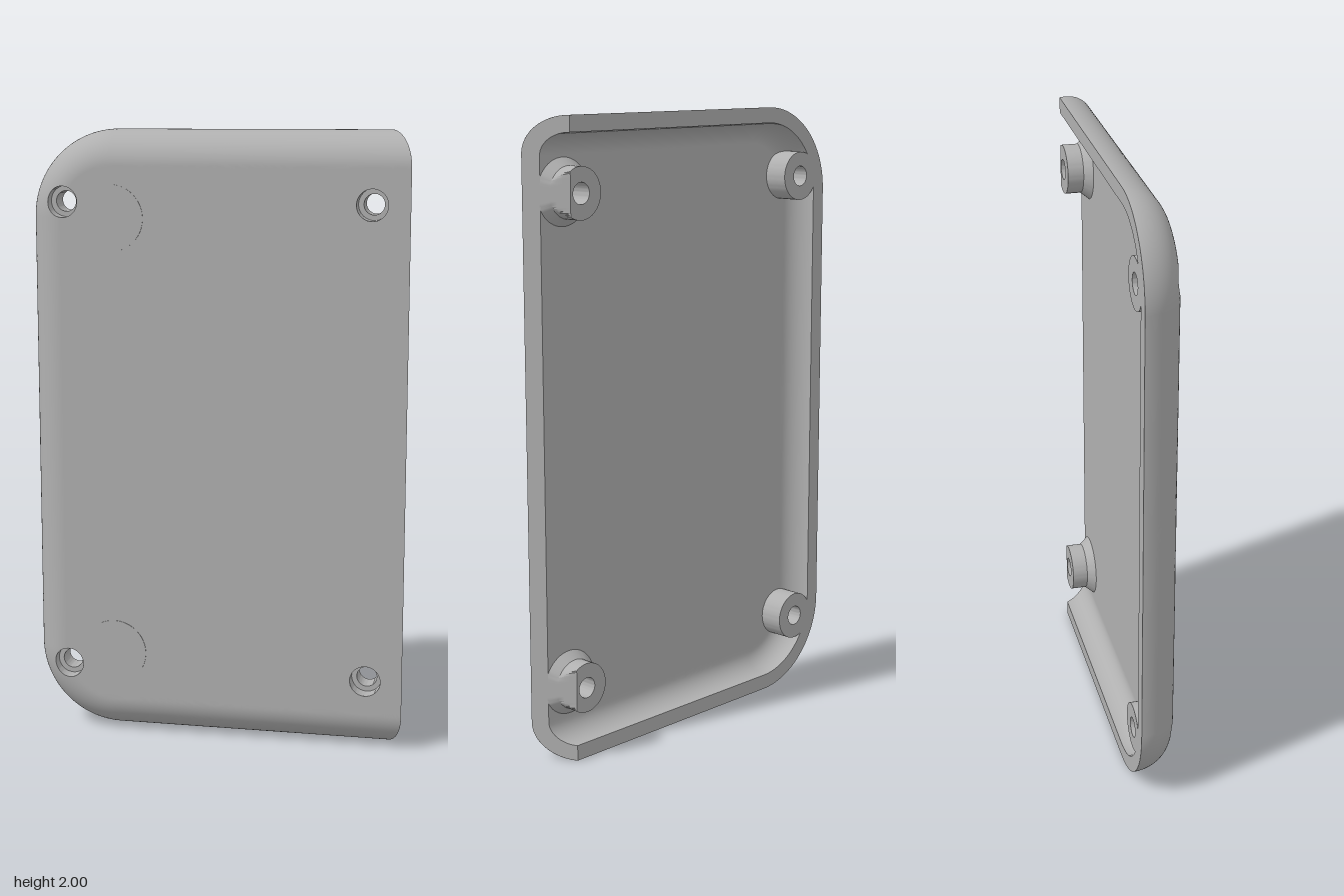
import * as THREE from 'three';
import { toCreasedNormals } from 'three/addons/utils/BufferGeometryUtils.js';

const CX = -0.34, CY = 0.28;              // centre of the rounded lower corner
const Z0 = -0.064;                        // plane of the back rim
const OUTER = { R: 0.28, a: 0.115, H: 0.128 };  // outline radius, edge rounding width and height
const INNER = { R: 0.23, a: 0.07, H: 0.08 };
const BORE = 0.033, SINK = 0.05;          // screw hole and counterbore radii
const cutX = z => 0.5816 + 0.6 * z;       // slanted plane of the open side

// Height and normal of a shell surface over the point (x, y)
function surface(s, x, y) {
  const vx = Math.max(0, CX - x), vy = Math.max(0, Math.abs(y - 1) - (1 - CY));
  const dist = Math.hypot(vx, vy) || 1e-9;
  const d = Math.min(s.a, Math.max(0, s.R - dist));
  const c = 1 - d / s.a, h = Math.sqrt(Math.max(0, 1 - c * c));
  const n = new THREE.Vector3(-vx / dist * c / s.a, Math.sign(y - 1) * vy / dist * c / s.a, h / s.H);
  return { z: Z0 + s.H * h, n: n.normalize() };
}

// Counter-clockwise border of one quarter of the plate
function border(s, right, top) {
  const y0 = CY - s.R, x0 = CX - s.R, pts = [];
  const line = (ax, ay, bx, by, n) => {
    for (let k = 0; k < n; k++) {
      const t = (1 - Math.cos(Math.PI * k / n)) / 2;
      pts.push([ax + (bx - ax) * t, ay + (by - ay) * t]);
    }
  };
  if (right) {
    line(0, y0, 0.62, y0, 44);
    line(0.62, y0, 0.62, 1, 60);
    line(0.62, 1, 0, 1, 36);
    line(0, 1, 0, y0, 60);
  } else {
    line(0, 1, x0, 1, 36);
    line(x0, 1, x0, CY, 48);
    for (let k = 0; k < 32; k++) {
      const t = Math.PI + Math.PI / 2 * k / 32;
      pts.push([CX + s.R * Math.cos(t), CY + s.R * Math.sin(t)]);
    }
    line(CX, y0, 0, y0, 24);
    line(0, y0, 0, 1, 60);
  }
  return top ? pts.map(p => [p[0], 2 - p[1]]).reverse() : pts;
}

// Quarter of a shell surface, spread from the screw hole to the border
function quarter(s, hx, hy, inside) {
  const edge = border(s, hx > 0, hy > 1), rings = 20, n = edge.length;
  const pos = [], nor = [], idx = [];
  for (let j = 0; j <= rings; j++) {
    const t = 1 - (1 - j / rings) ** 2;
    for (const [bx, by] of edge) {
      const len = Math.hypot(bx - hx, by - hy);
      const r = SINK + (len - SINK) * t;
      const x = hx + (bx - hx) / len * r, y = hy + (by - hy) / len * r;
      const p = surface(s, x, y);
      if (inside) p.n.negate();
      pos.push(Math.min(x, cutX(p.z)), y, p.z);
      nor.push(p.n.x, p.n.y, p.n.z);
    }
  }
  for (let j = 0; j < rings; j++) {
    for (let i = 0; i < n; i++) {
      const a = j * n + i, b = j * n + (i + 1) % n, c = a + n, d = b + n;
      if (inside) idx.push(a, b, c, b, d, c);
      else idx.push(a, c, b, b, c, d);
    }
  }
  const g = new THREE.BufferGeometry();
  g.setAttribute('position', new THREE.Float32BufferAttribute(pos, 3));
  g.setAttribute('normal', new THREE.Float32BufferAttribute(nor, 3));
  g.setIndex(idx);
  return g;
}

// Screw boss with through hole and counterbore, trimmed by the slanted side
function bossGeometry(hx, hy) {
  const foot = hx > 0 ? [[0.08, -0.012], [0.105, 0.018]] : [[0.08, 0.018]];
  const profile = [[SINK, 0.06], [SINK, 0.01], [BORE, 0.01], [BORE, Z0], [0.08, Z0],
    [0.08, -0.045], [0.08, -0.028], ...foot].map(p => new THREE.Vector2(...p));
  const g = new THREE.LatheGeometry(profile, 64);
  g.rotateX(Math.PI / 2).translate(hx, hy, 0);
  const p = g.attributes.position;
  for (let i = 0; i < p.count; i++) {
    // the mouth of the counterbore follows the front surface
    if (i % profile.length === 0) p.setZ(i, surface(OUTER, p.getX(i), p.getY(i)).z);
    p.setX(i, Math.min(p.getX(i), cutX(p.getZ(i))));
  }
  return toCreasedNormals(g, 0.5);
}

// Flat back rim between the outer and inner outlines
function rimGeometry() {
  const outline = R => {
    const pts = [[cutX(Z0), CY - R]];
    for (const cy of [CY, 2 - CY]) {
      for (let k = 0; k <= 32; k++) {
        const t = -Math.PI / 2 * (1 + k / 32) - (cy > 1 ? Math.PI / 2 : 0);
        pts.push([CX + R * Math.cos(t), cy + R * Math.sin(t)]);
      }
    }
    pts.push([cutX(Z0), 2 - CY + R]);
    return pts.map(p => new THREE.Vector2(...p));
  };
  const shape = new THREE.Shape([...outline(OUTER.R), ...outline(INNER.R).reverse()]);
  return new THREE.ShapeGeometry(shape).translate(0, 0, Z0);
}

// Cross-section of the shell on the slanted cut
function cutGeometry() {
  const half = s => Array.from({ length: 25 }, (_, k) => {
    const t = Math.PI / 2 * k / 24;
    return new THREE.Vector2(CY - s.R + s.a * (1 - Math.cos(t)), Z0 + s.H * Math.sin(t));
  });
  const arch = s => [...half(s), ...half(s).reverse().map(p => new THREE.Vector2(2 - p.x, p.y))];
  const g = new THREE.ShapeGeometry(new THREE.Shape([...arch(OUTER), ...arch(INNER).reverse()]));
  const p = g.attributes.position;
  for (let i = 0; i < p.count; i++) {
    const y = p.getX(i), z = p.getY(i);
    p.setXYZ(i, cutX(z), y, z);
  }
  g.computeVertexNormals();
  return g;
}

export function createModel() {
  const model = new THREE.Group();
  model.name = 'coverPlate';
  const grey = new THREE.MeshStandardMaterial({ color: 0xb0b0b0, side: THREE.DoubleSide });
  grey.name = 'grey plastic';
  const add = (name, geometry) => {
    const mesh = new THREE.Mesh(geometry, grey);
    mesh.name = name;
    model.add(mesh);
    return mesh;
  };

  // Shell quarters, each with its screw boss
  for (const hx of [-0.5, 0.5]) {
    for (const hy of [0.23, 1.77]) {
      add('outerShell', quarter(OUTER, hx, hy, false));
      add('innerShell', quarter(INNER, hx, hy, true));
      add('screwBoss', bossGeometry(hx, hy));
    }
  }
  add('backRim', rimGeometry());
  add('slantedCutFace', cutGeometry());

  // Round pads on the front
  for (const y of [CY, 2 - CY]) {
    const pad = new THREE.CylinderGeometry(0.107, 0.107, 0.004, 64).rotateX(Math.PI / 2);
    add('roundPad', pad).position.set(CX, y, 0.064);
  }
  return model;
}
